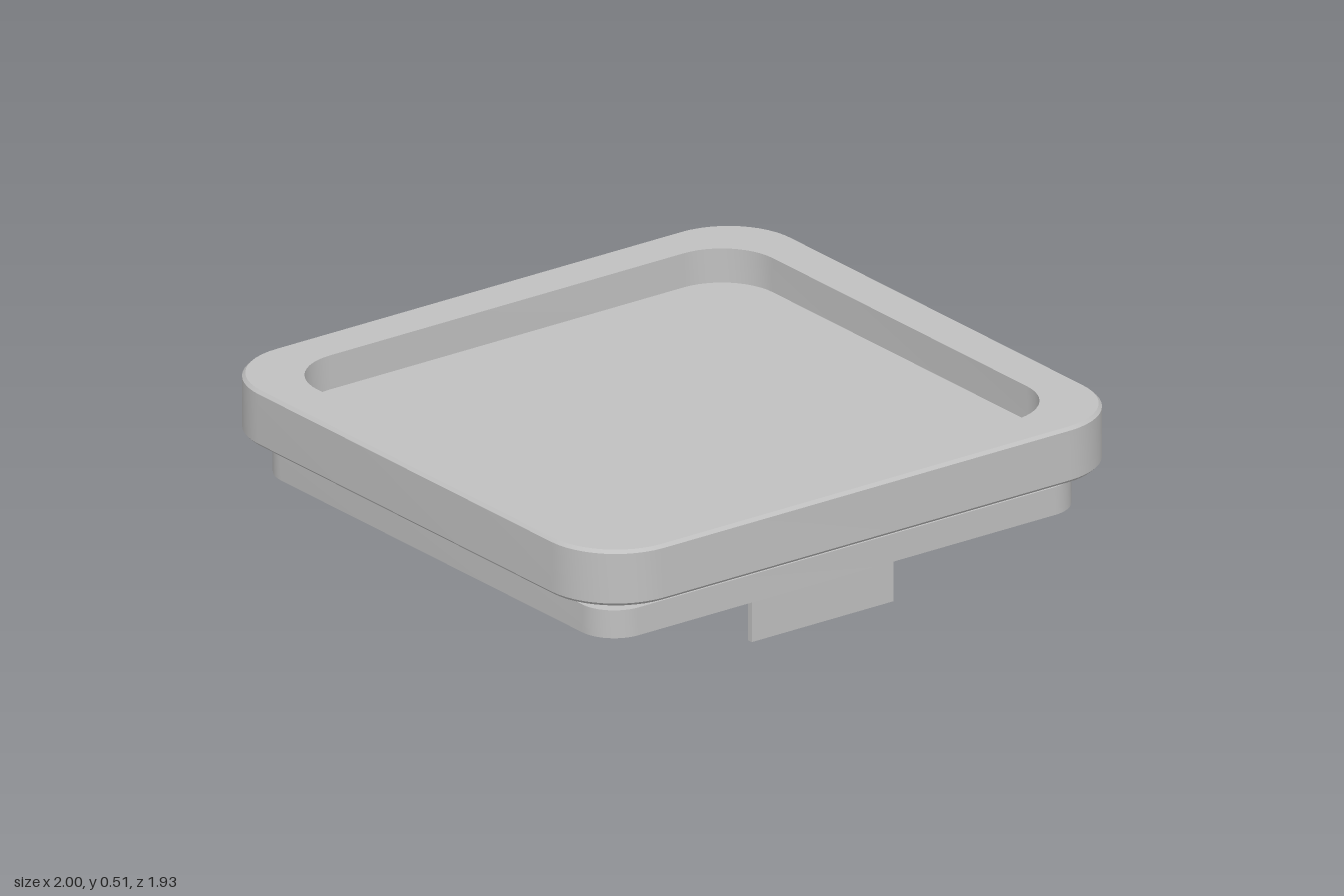
import * as THREE from 'three';
import { toCreasedNormals } from 'three/addons/utils/BufferGeometryUtils.js';

const ARC = 12; // steps per rounded corner

// Closed outline of a rounded rectangle at height y
function ring([hx, hz, r, y]) {
  const points = [];
  for (let corner = 0; corner < 4; corner++) {
    const sx = corner === 0 || corner === 3 ? 1 : -1;
    const sz = corner < 2 ? 1 : -1;
    for (let k = 0; k <= ARC; k++) {
      const a = (corner + k / ARC) * Math.PI / 2;
      points.push(new THREE.Vector3(
        sx * (hx - r) + r * Math.cos(a), y, sz * (hz - r) + r * Math.sin(a)));
    }
  }
  return points;
}

// Skin through rounded rectangles [halfX, halfZ, radius, y], closed to the centre at both ends
function roundedSolid(stations) {
  const first = stations[0], last = stations[stations.length - 1];
  const rings = [[0, 0, 0, first[3]], ...stations, [0, 0, 0, last[3]]].map(ring);
  const triangles = [];
  for (let j = 0; j < rings.length - 1; j++) {
    const n = rings[j].length;
    for (let i = 0; i < n; i++) {
      const k = (i + 1) % n;
      const a = rings[j][i], b = rings[j + 1][i], c = rings[j + 1][k], d = rings[j][k];
      if (j < rings.length - 2) triangles.push(a, b, c);
      if (j > 0) triangles.push(a, c, d);
    }
  }
  const geometry = new THREE.BufferGeometry().setFromPoints(triangles);
  return toCreasedNormals(geometry, 0.3);
}

export function createModel() {
  const group = new THREE.Group();
  const grey = new THREE.MeshStandardMaterial({ color: 0xc0c0c0 });
  grey.name = 'plain grey';

  const add = (name, geometry) => {
    const mesh = new THREE.Mesh(geometry, grey);
    mesh.name = name;
    group.add(mesh);
    return mesh;
  };

  // Upper tray: softened outer edges and a shallow recess in the top
  const e = 0.01;
  add('tray', roundedSolid([
    [1 - e, 0.965 - e, 0.23, 0.33],
    [1, 0.965, 0.24, 0.33 + e],
    [1, 0.965, 0.24, 0.51 - e],
    [1 - e, 0.965 - e, 0.23, 0.51],
    [0.852, 0.818, 0.19, 0.51],
    [0.852, 0.818, 0.19, 0.4],
  ]));

  // Lower plate, separated from the tray by a narrow gap
  add('basePlate', roundedSolid([
    [0.9, 0.865, 0.12, 0.19],
    [0.9, 0.865, 0.12, 0.28],
  ]));

  // Thin tab hanging near the front edge
  add('frontTab', new THREE.BoxGeometry(0.53, 0.19, 0.02)).position.set(0, 0.095, 0.735);

  return group;
}
